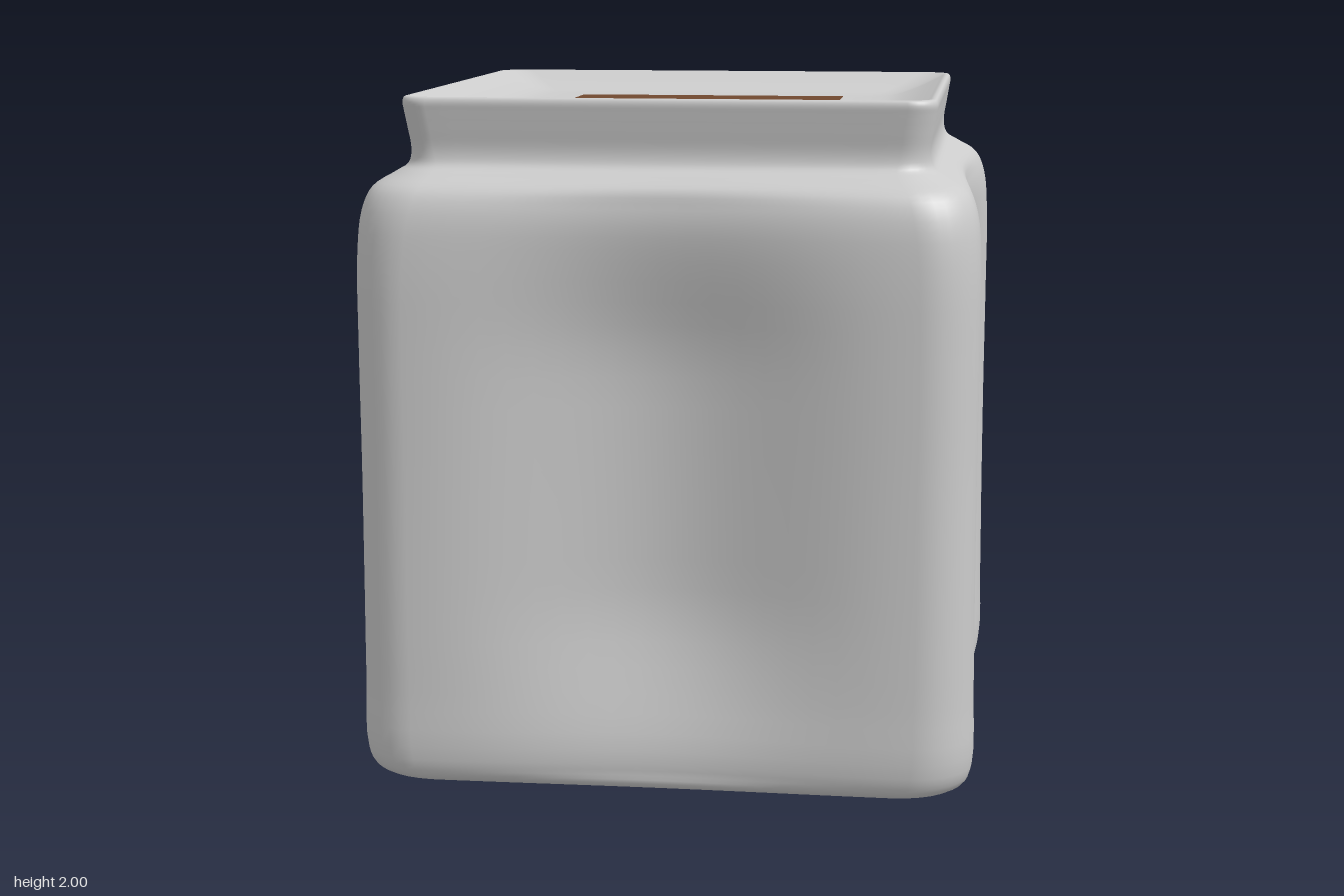
import * as THREE from 'three';

const { smoothstep, lerp, clamp } = THREE.MathUtils;

// Horizontal section: square of half width w with corners of radius r
function squareRing(w, r) {
  const points = [], arc = 8, side = 20, c = w - r;
  for (let q = 0; q < 4; q++) {
    const sx = q === 0 || q === 3 ? 1 : -1, sz = q < 2 ? 1 : -1;
    for (let i = 0; i <= arc; i++) {
      const a = (q + i / arc) * Math.PI / 2;
      points.push([sx * c + r * Math.cos(a), sz * c + r * Math.sin(a)]);
    }
    // straight run to the next corner
    const [x, z] = points[points.length - 1];
    const [nx, nz] = q % 2 === 0 ? [-x, z] : [x, -z];
    for (let i = 1; i < side; i++) points.push([lerp(x, nx, i / side), lerp(z, nz, i / side)]);
  }
  return points;
}

// How far the middle of each wall is pressed in at height y
function dent(y) {
  const edge = 0.038 * smoothstep(y, 0, 0.08) * (1 - smoothstep(y, 1.7, 1.82));
  const wall = 0.11 * smoothstep(y, 0.03, 0.6) * (1 - smoothstep(y, 1.2, 1.78));
  return edge + wall;
}

const bump = t => (Math.abs(t) < 0.68 ? Math.cos(Math.PI * t / 1.36) ** 2 : 0);

function potGeometry() {
  // half width, height, corner radius, from the underside up and into the dish
  const profile = [
    [0.02, 0, 0.01], [0.35, 0, 0.08], [0.65, 0.002, 0.13], [0.79, 0.013, 0.16], [0.864, 0.042, 0.17],
    [0.887, 0.1, 0.17], [0.888, 0.3, 0.165], [0.886, 0.6, 0.16], [0.885, 0.95, 0.16],
    [0.886, 1.3, 0.16], [0.885, 1.55, 0.165], [0.873, 1.68, 0.17], [0.845, 1.745, 0.16],
    [0.785, 1.785, 0.13], [0.748, 1.81, 0.1], [0.738, 1.85, 0.08], [0.746, 1.91, 0.08],
    [0.754, 1.96, 0.08], [0.757, 1.985, 0.08], [0.752, 1.998, 0.08], [0.742, 2, 0.08],
    [0.725, 1.992, 0.08], [0.66, 1.962, 0.07], [0.59, 1.94, 0.05], [0.52, 1.934, 0.04],
    [0.4, 1.933, 0.03], [0.02, 1.933, 0.01],
  ].map(p => new THREE.Vector3(...p));
  const curve = new THREE.CatmullRomCurve3(profile);
  const rows = (profile.length - 1) * 4;
  const positions = [], index = [];
  let n = 0;
  for (let i = 0; i <= rows; i++) {
    const p = curve.getPoint(i / rows);
    const y = clamp(p.y, 0, 2), k = dent(y);
    const ring = squareRing(p.x, Math.min(p.z, p.x));
    n = ring.length;
    for (const [x, z] of ring) positions.push(x * (1 - k * bump(z)), y, z * (1 - k * bump(x)));
  }
  for (let i = 0; i < rows; i++) {
    for (let j = 0; j < n; j++) {
      const a = i * n + j, b = i * n + (j + 1) % n;
      index.push(a, a + n, b, b, a + n, b + n);
    }
  }
  // close the tiny centres of the underside and the dish
  const last = rows * n;
  for (let j = 1; j < n - 1; j++) index.push(0, j, j + 1, last, last + j + 1, last + j);
  const geometry = new THREE.BufferGeometry();
  geometry.setAttribute('position', new THREE.Float32BufferAttribute(positions, 3));
  geometry.setIndex(index);
  geometry.computeVertexNormals();
  return geometry;
}

export function createModel() {
  const model = new THREE.Group();
  model.name = 'squarePot';

  // Pot with dented walls, neck, flared lip and shallow dish
  const pot = new THREE.Mesh(potGeometry(), new THREE.MeshStandardMaterial({ color: 0xcccccc }));
  pot.name = 'pot';

  // Brown square filling the middle of the dish
  const soil = new THREE.Mesh(
    new THREE.PlaneGeometry(0.845, 0.845).rotateX(-Math.PI / 2),
    new THREE.MeshStandardMaterial({ color: 0x70482f }),
  );
  soil.name = 'soil';
  soil.position.y = 1.938;

  model.add(pot, soil);
  return model;
}
